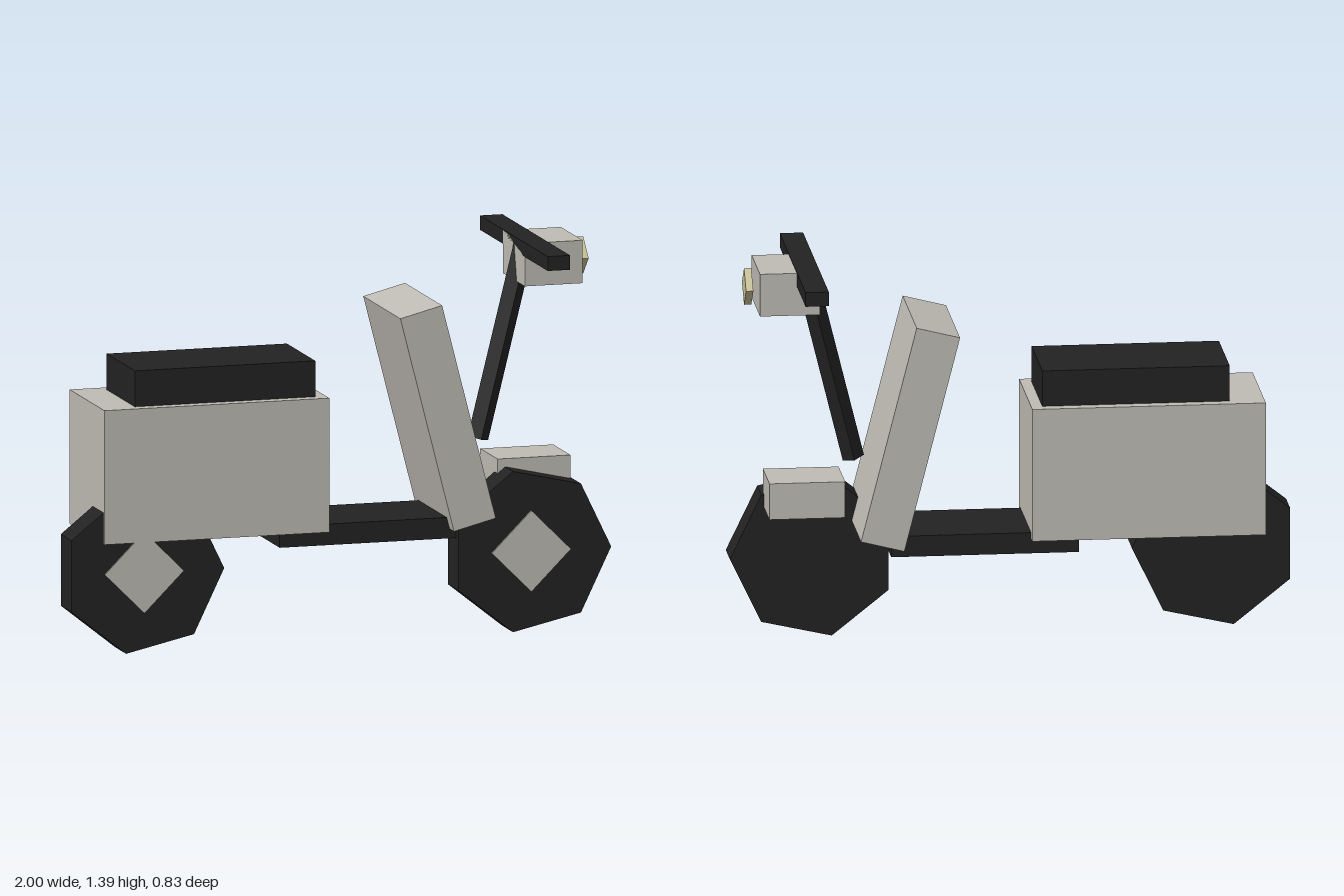
import * as THREE from 'three';

const flat = (name, color) => {
  const m = new THREE.MeshStandardMaterial({ color, flatShading: true });
  m.name = name;
  return m;
};

export function createModel() {
  const scooter = new THREE.Group();
  scooter.name = 'scooter';
  const paint = flat('warm grey paint', 0xbfbcb4);
  const black = flat('black rubber', 0x222222);
  const glow = flat('cream lamp', 0xcbc299);

  const add = (name, geometry, material, x, y, z, tilt = 0) => {
    const mesh = new THREE.Mesh(geometry, material);
    mesh.name = name;
    mesh.position.set(x, y, z);
    mesh.rotation.z = tilt;
    scooter.add(mesh);
    return mesh;
  };

  // Box given by its lower and upper corners
  const box = (name, material, [x0, y0, z0], [x1, y1, z1]) =>
    add(name, new THREE.BoxGeometry(x1 - x0, y1 - y0, z1 - z0), material,
      (x0 + x1) / 2, (y0 + y1) / 2, (z0 + z1) / 2);

  // Prism with its first corner pointing along +x, axis along z
  const disc = (radius, depth, sides) =>
    new THREE.CylinderGeometry(radius, radius, depth, sides, 1, false, Math.PI / 2)
      .rotateX(Math.PI / 2);

  // Rear body, seat and footboard
  box('body', paint, [-0.885, 0.4, -0.215], [-0.05, 0.885, 0.212]);
  box('seat', black, [-0.76, 0.885, -0.175], [-0.09, 1.015, 0.172]);
  box('footboard', black, [-0.222, 0.346, -0.175], [0.45, 0.422, 0.172]);

  // Leaning leg shield
  add('legShield', new THREE.BoxGeometry(0.16, 0.805, 0.455), paint, 0.387, 0.79, -0.002, 0.25);

  // Seven-sided wheels with diamond hubs on the outer side
  for (const [name, x] of [['front', 0.702], ['rear', -0.735]]) {
    add(name + 'Wheel', disc(0.298, 0.133, 7), black, x, 0.29, 0.135);
    add(name + 'Hub', disc(0.147, 0.068, 4), paint, x, 0.29, 0.174);
  }
  box('frontFender', paint, [0.607, 0.478, -0.106], [0.878, 0.61, 0.106]);

  // Steering column, handlebar and headlamp
  add('steeringColumn', new THREE.CylinderGeometry(0.039, 0.039, 0.73, 4), black, 0.654, 1.024, 0, -0.243);
  box('handlebar', black, [0.7, 1.34, -0.416], [0.783, 1.392, 0.414]);
  box('headlampHousing', paint, [0.7, 1.234, -0.135], [0.915, 1.389, 0.133]);
  add('headlamp', new THREE.CylinderGeometry(0.067, 0.067, 0.026, 4).rotateZ(Math.PI / 2), glow, 0.944, 1.31, 0);

  return scooter;
}
